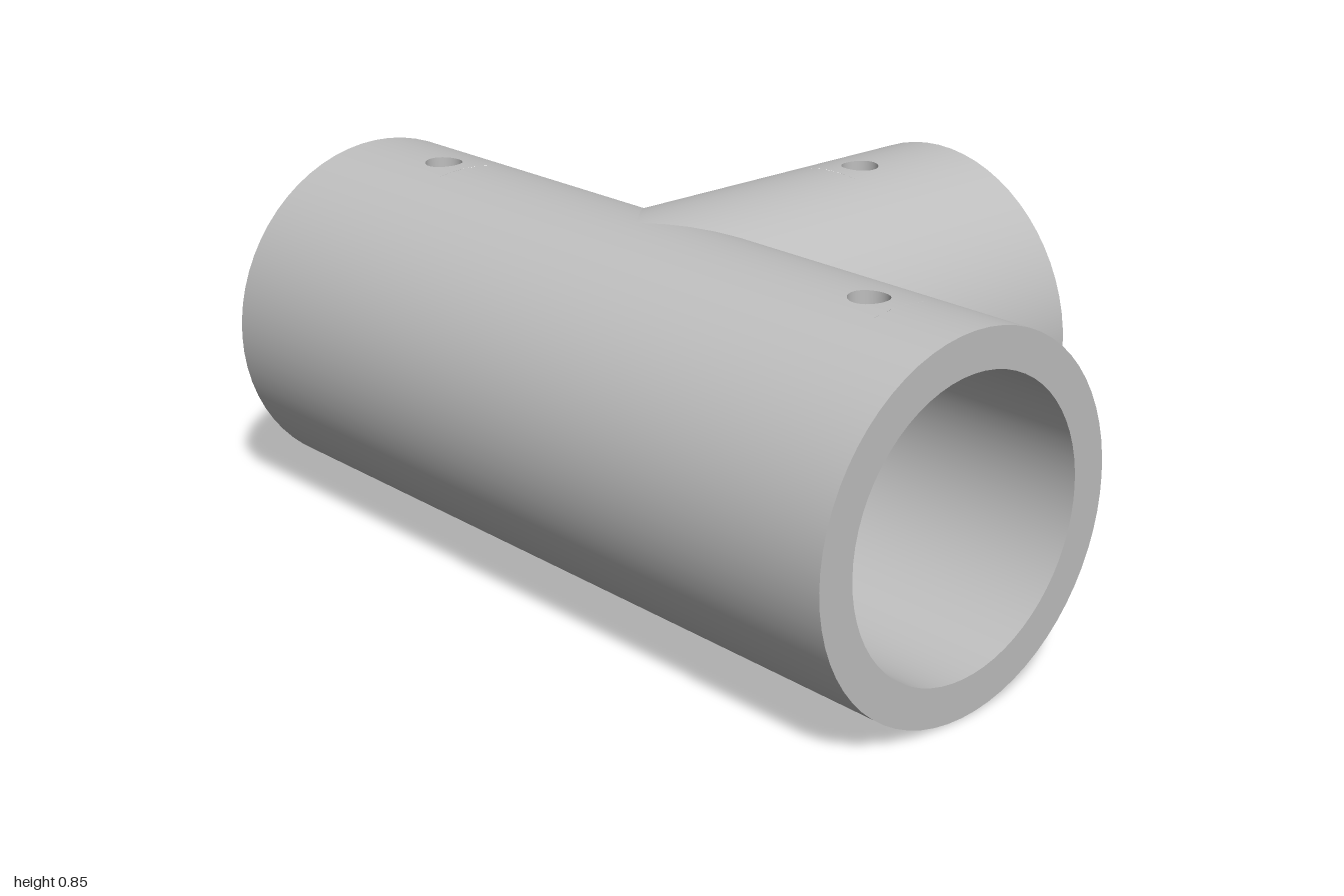
import * as THREE from 'three';

const OUTER = 0.4225, INNER = 0.333;   // pipe radii
const HOLE = 0.045, HOLE_AT = 0.714;   // screw hole radius and distance from the joint
const SEGS = 64, STEP = (Math.PI * 2) / SEGS;
const PATCH = 0.085, PATCH_STEPS = 2;  // area around each screw hole

// Joins rows of points into quads, facing along the normals given by normalAt(point)
function loft(rows, normalAt, skip = () => false) {
  const pos = [], nor = [];
  const face = new THREE.Vector3(), edge = new THREE.Vector3();
  const triangle = (a, b, c) => {
    face.subVectors(b, a).cross(edge.subVectors(c, a));
    const order = face.dot(normalAt(a).add(normalAt(b)).add(normalAt(c))) < 0 ? [a, c, b] : [a, b, c];
    for (const p of order) {
      pos.push(p.x, p.y, p.z);
      nor.push(...normalAt(p).normalize().toArray());
    }
  };
  for (let r = 0; r + 1 < rows.length; r++) {
    for (let i = 0; i + 1 < rows[r].length; i++) {
      if (skip(r, i)) continue;
      const a = rows[r][i], b = rows[r][i + 1], c = rows[r + 1][i + 1], d = rows[r + 1][i];
      triangle(a, b, c);
      triangle(a, c, d);
    }
  }
  const geometry = new THREE.BufferGeometry();
  geometry.setAttribute('position', new THREE.Float32BufferAttribute(pos, 3));
  geometry.setAttribute('normal', new THREE.Float32BufferAttribute(nor, 3));
  return geometry;
}

// Point on a pipe along +x; angle 0 is the top
const onPipe = (s, angle, r) => new THREE.Vector3(s, r * Math.cos(angle), r * Math.sin(angle));

const ring = (count, fn) => Array.from({ length: count + 1 }, (_, i) => fn(i));

// Rim of the screw hole where it meets a pipe of radius r
const holeRim = (r) => ring(32, (i) => {
  const t = (i / 32) * Math.PI * 2, z = HOLE * Math.sin(t);
  return new THREE.Vector3(HOLE_AT + HOLE * Math.cos(t), Math.sqrt(r * r - z * z), z);
});

// Rectangular border of the patch around the screw hole
const patchBorder = (r) => ring(32, (i) => {
  const t = (i / 32) * Math.PI * 2;
  const side = (v) => THREE.MathUtils.clamp((Math.asin(v) * 4) / Math.PI, -1, 1);
  return onPipe(HOLE_AT + PATCH * side(Math.cos(t)), PATCH_STEPS * STEP * side(Math.sin(t)), r);
});

// One arm of the tee: mitre(sideways) gives where its wall starts
function makeArm(name, length, mitre, material) {
  const arm = new THREE.Group();
  arm.name = name;
  const add = (part, geometry) => {
    const mesh = new THREE.Mesh(geometry, material);
    mesh.name = part;
    arm.add(mesh);
  };
  for (const [part, r, sign] of [['outerWall', OUTER, 1], ['bore', INNER, -1]]) {
    const normalAt = (p) => new THREE.Vector3(0, p.y * sign, p.z * sign).normalize();
    const angle = (i) => (i - SEGS / 2) * STEP;
    const starts = (i) => mitre(r * Math.sin(angle(i)));
    const rows = [starts, () => HOLE_AT - PATCH, () => HOLE_AT + PATCH, () => length]
      .map((s) => ring(SEGS, (i) => onPipe(s(i), angle(i), r)));
    const inPatch = (row, i) => row === 1 && i >= SEGS / 2 - PATCH_STEPS && i < SEGS / 2 + PATCH_STEPS;
    add(part, loft(rows, normalAt, inPatch));
    add(part + 'HoleSurround', loft([patchBorder(r), holeRim(r)], normalAt));
  }
  // Wall of the screw hole
  add('screwHole', loft([holeRim(OUTER), holeRim(INNER)],
    (p) => new THREE.Vector3(HOLE_AT - p.x, 0, -p.z).normalize()));
  // Flat end of the pipe
  add('endFace', loft([OUTER, INNER].map((r) => ring(SEGS, (i) => onPipe(length, i * STEP, r))),
    () => new THREE.Vector3(1, 0, 0)));
  return arm;
}

export function createModel() {
  const grey = new THREE.MeshStandardMaterial({ color: 0xbfbfbf });
  grey.name = 'grey';

  const model = new THREE.Group();
  model.name = 'pipeTee';

  // Two arms of the straight run, mitred where the branch enters
  const left = makeArm('leftArm', 1, (z) => Math.max(0, -z), grey);
  const right = makeArm('rightArm', 1, (z) => Math.max(0, z), grey);
  right.rotation.y = Math.PI;

  // Branch towards the back
  const branch = makeArm('branch', 0.9975, (z) => Math.abs(z), grey);
  branch.rotation.y = Math.PI / 2;

  for (const arm of [left, right, branch]) {
    arm.position.set(0, OUTER, 0.2875);
    model.add(arm);
  }
  return model;
}
